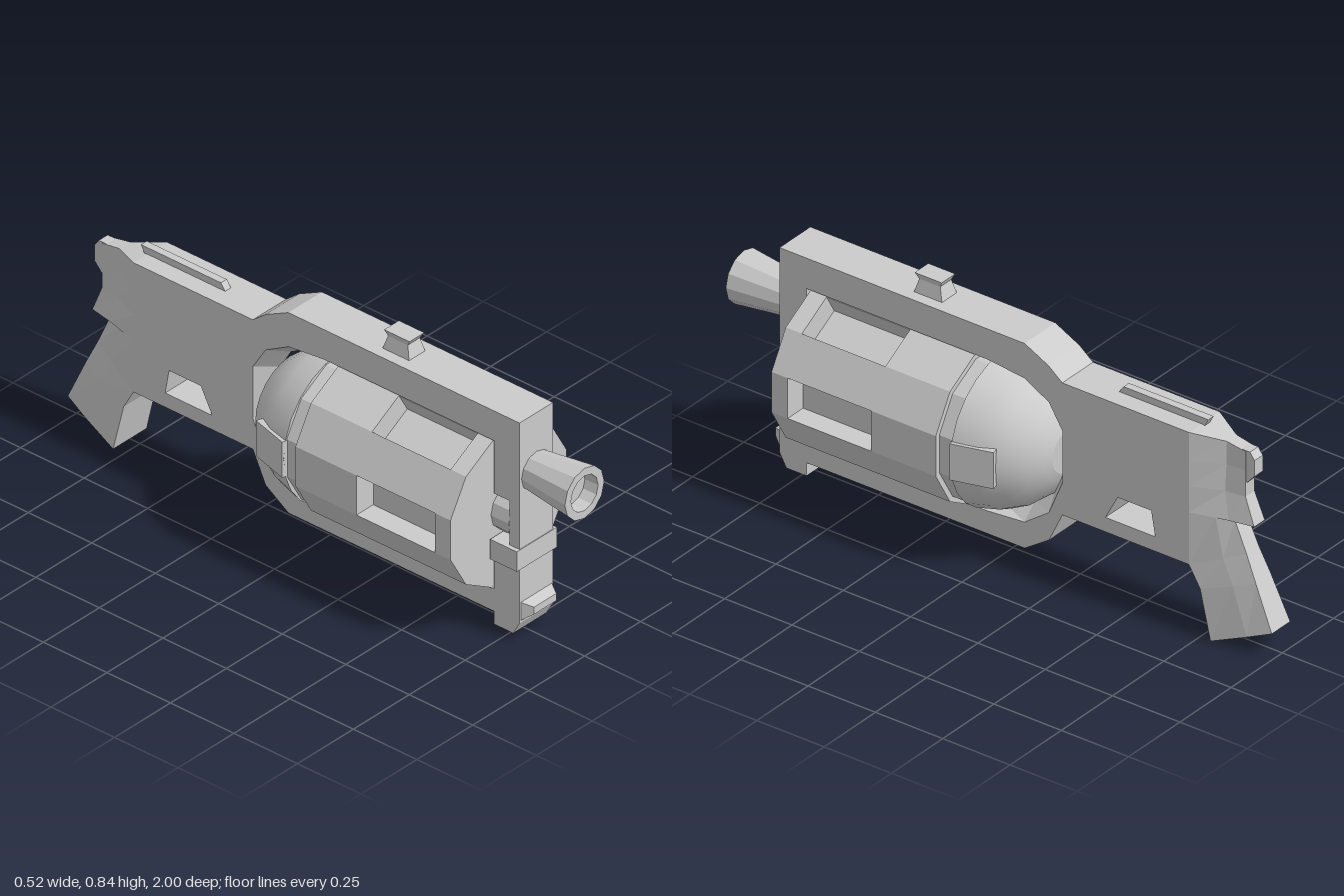
import * as THREE from 'three';

const AXIS_Y = 0.41;
const flat = new THREE.MeshStandardMaterial({ color: 0xcccccc, flatShading: true, side: THREE.DoubleSide });
const smooth = new THREE.MeshStandardMaterial({ color: 0xcccccc, side: THREE.DoubleSide });
const pts = (list) => list.map(([a, b]) => new THREE.Vector2(a, b));

function add(group, name, geometry, material = flat) {
  const mesh = new THREE.Mesh(geometry, material);
  mesh.name = name;
  group.add(mesh);
  return mesh;
}

// Side profile in (z, y), extruded across x and centred
function sideExtrude(profile, width, holes = [], steps = 1) {
  const shape = new THREE.Shape(pts(profile));
  holes.forEach((h) => shape.holes.push(new THREE.Path(pts(h))));
  const g = new THREE.ExtrudeGeometry(shape, { depth: width, steps, bevelEnabled: false });
  return g.translate(0, 0, -width / 2).rotateY(-Math.PI / 2);
}

// Closed loft through rings of [x, y, z] with equal point counts
function loft(rings) {
  const n = rings[0].length, index = [];
  for (let i = 0; i < rings.length - 1; i++)
    for (let j = 0; j < n; j++) {
      const a = i * n + j, b = i * n + (j + 1) % n;
      index.push(a, b, a + n, b, b + n, a + n);
    }
  const last = (rings.length - 1) * n;
  for (let j = 1; j < n - 1; j++) index.push(0, j + 1, j, last, last + j, last + j + 1);
  const g = new THREE.BufferGeometry();
  g.setAttribute('position', new THREE.Float32BufferAttribute(rings.flat(2), 3));
  g.setIndex(index);
  const out = g.toNonIndexed();
  out.computeVertexNormals();
  return out;
}

// Rectangular rings stacked upward: [y, halfX, zFront, zBack]
const stack = (levels) => loft(levels.map(([y, w, f, b]) => [[w, y, f], [w, y, b], [-w, y, b], [-w, y, f]].reverse()));

// Revolved profile of [radius, z] around the z axis
function turned(profile, sides, y) {
  return new THREE.LatheGeometry(pts(profile), sides).rotateX(Math.PI / 2).translate(0, y, 0);
}

// Twelve-sided drum slice; every other face may be cut into a pocket
function drumSlice(radius, z0, z1, pocket) {
  const p = [];
  for (let i = 0; i < 6; i++) {
    const mid = i * Math.PI / 3, a = mid - Math.PI / 12, b = mid + Math.PI / 12;
    const at = (t, d) => [radius * Math.cos(t) - d * Math.cos(mid), radius * Math.sin(t) - d * Math.sin(mid)];
    p.push(at(a, 0));
    if (pocket) p.push(at(a, pocket), at(b, pocket));
    p.push(at(b, 0));
  }
  return new THREE.ExtrudeGeometry(new THREE.Shape(pts(p)), { depth: z1 - z0, bevelEnabled: false })
    .translate(0, AXIS_Y, z0);
}

export function createModel() {
  const model = new THREE.Group();
  model.name = 'toyBlaster';

  // Frame with the drum window and the trigger opening
  const outline = [[0.81, 0.78], [-0.1, 0.78], [-0.19, 0.735], [-0.24, 0.695], [-0.71, 0.695], [-0.71, 0.24],
    [-0.24, 0.24], [-0.19, 0.135], [-0.1, 0.075], [0.71, 0.075], [0.71, 0.03], [0.785, 0.03], [0.81, 0.075]];
  const drumWindow = [[0.71, 0.675], [0.04, 0.675], [-0.1, 0.66], [-0.19, 0.61], [-0.24, 0.53], [-0.24, 0.35],
    [-0.19, 0.23], [-0.1, 0.165], [0.04, 0.153], [0.71, 0.153], [0.71, 0.335], [0.77, 0.335], [0.77, 0.49], [0.71, 0.49]];
  const triggerHole = [[-0.4, 0.29], [-0.445, 0.375], [-0.57, 0.375], [-0.585, 0.29]];
  const frame = sideExtrude(outline, 0.15, [drumWindow, triggerHole], 2);
  // Flare the rear of the window by pulling its middle layer inward
  const pos = frame.attributes.position;
  for (let i = 0; i < pos.count; i++) {
    const y = pos.getY(i), z = pos.getZ(i);
    if (Math.abs(pos.getX(i)) < 0.01 && z < 0 && Math.hypot(z, y - AXIS_Y) < 0.28) {
      pos.setZ(i, z * 0.82);
      pos.setY(i, AXIS_Y + (y - AXIS_Y) * 0.86);
    }
  }
  frame.computeVertexNormals();
  add(model, 'frame', frame);

  // Rear body and grip: [front z, front y, back z, back y, front, middle and back half widths]
  const sections = [
    [-0.79, 0.005, -0.995, 0.09, 0.075, 0.06, 0.045],
    [-0.75, 0.17, -0.93, 0.235, 0.073, 0.055, 0.037],
    [-0.71, 0.24, -0.89, 0.32, 0.075, 0.05, 0.03],
    [-0.71, 0.42, -0.845, 0.42, 0.075, 0.05, 0.028],
    [-0.71, 0.42, -0.915, 0.42, 0.075, 0.042, 0.026],
    [-0.71, 0.51, -0.88, 0.51, 0.075, 0.032, 0.022],
    [-0.71, 0.6, -0.88, 0.6, 0.075, 0.026, 0.022],
    [-0.71, 0.695, -0.88, 0.665, 0.075, 0.024, 0.022],
  ];
  add(model, 'grip', loft(sections.map(([fz, fy, bz, by, wf, wm, wb]) => {
    const mz = fz + (bz - fz) * 0.6, my = fy + (by - fy) * 0.6;
    return [[-wf, fy, fz], [wf, fy, fz], [wm, my, mz], [wb, by, bz], [-wb, by, bz], [-wm, my, mz]].reverse();
  })));
  add(model, 'hammer', sideExtrude([[-0.86, 0.668], [-0.895, 0.668], [-0.912, 0.645],
    [-0.912, 0.59], [-0.885, 0.56], [-0.86, 0.56]], 0.04));

  // Sights
  add(model, 'rearSight', sideExtrude([[-0.4, 0.69], [-0.42, 0.718], [-0.735, 0.718], [-0.72, 0.69]], 0.026));
  add(model, 'frontSight', stack([[0.775, 0.037, 0.342, 0.235], [0.825, 0.027, 0.328, 0.25], [0.845, 0.033, 0.34, 0.24]]));

  // Hollow flared barrel
  add(model, 'barrel', turned([[0, 0.8], [0.065, 0.8], [0.088, 1], [0.061, 1], [0.058, 0.95], [0, 0.95]], 12, 0.578));

  // Latch and front lug
  const latch = add(model, 'latch', new THREE.BoxGeometry(0.18, 0.07, 0.105));
  latch.position.set(0, 0.3, 0.76);
  const lugRing = (z, w, y0, y1) => [[-w, y0, z], [w, y0, z], [w, y1, z], [-w, y1, z]];
  add(model, 'frontLug', loft([lugRing(0.8, 0.075, 0.075, 0.15), lugRing(0.845, 0.05, 0.11, 0.135)]));

  // Drum: full ends with pocketed middle
  const drum = new THREE.Group();
  drum.name = 'drum';
  model.add(drum);
  add(drum, 'drumFront', drumSlice(0.268, 0.64, 0.7, 0));
  add(drum, 'drumPockets', drumSlice(0.268, 0.33, 0.64, 0.075));
  add(drum, 'drumRear', drumSlice(0.268, 0.09, 0.33, 0));
  add(drum, 'drumNeck', drumSlice(0.25, 0.04, 0.09, 0));
  add(drum, 'axle', turned([[0, 0.69], [0.078, 0.69], [0.078, 0.77], [0, 0.77]], 12, AXIS_Y));

  // Rounded rear of the drum, with a flat end
  add(drum, 'dome', turned([[0.07, -0.2], [0.1, -0.19], [0.155, -0.16], [0.205, -0.1], [0.235, -0.04], [0.255, 0.04]], 24, AXIS_Y), smooth);
  add(drum, 'domeBase', turned([[0.255, 0.04], [0, 0.045]], 24, AXIS_Y));
  add(drum, 'domeEnd', turned([[0, -0.2], [0.07, -0.2]], 24, AXIS_Y));

  // Tilted side tabs
  for (const s of [1, -1]) {
    const tab = add(drum, s > 0 ? 'leftTab' : 'rightTab', new THREE.BoxGeometry(0.035, 0.125, 0.14));
    tab.position.set(s * 0.224, AXIS_Y, -0.025);
    tab.rotation.y = s * 0.27;
  }
  return model;
}
